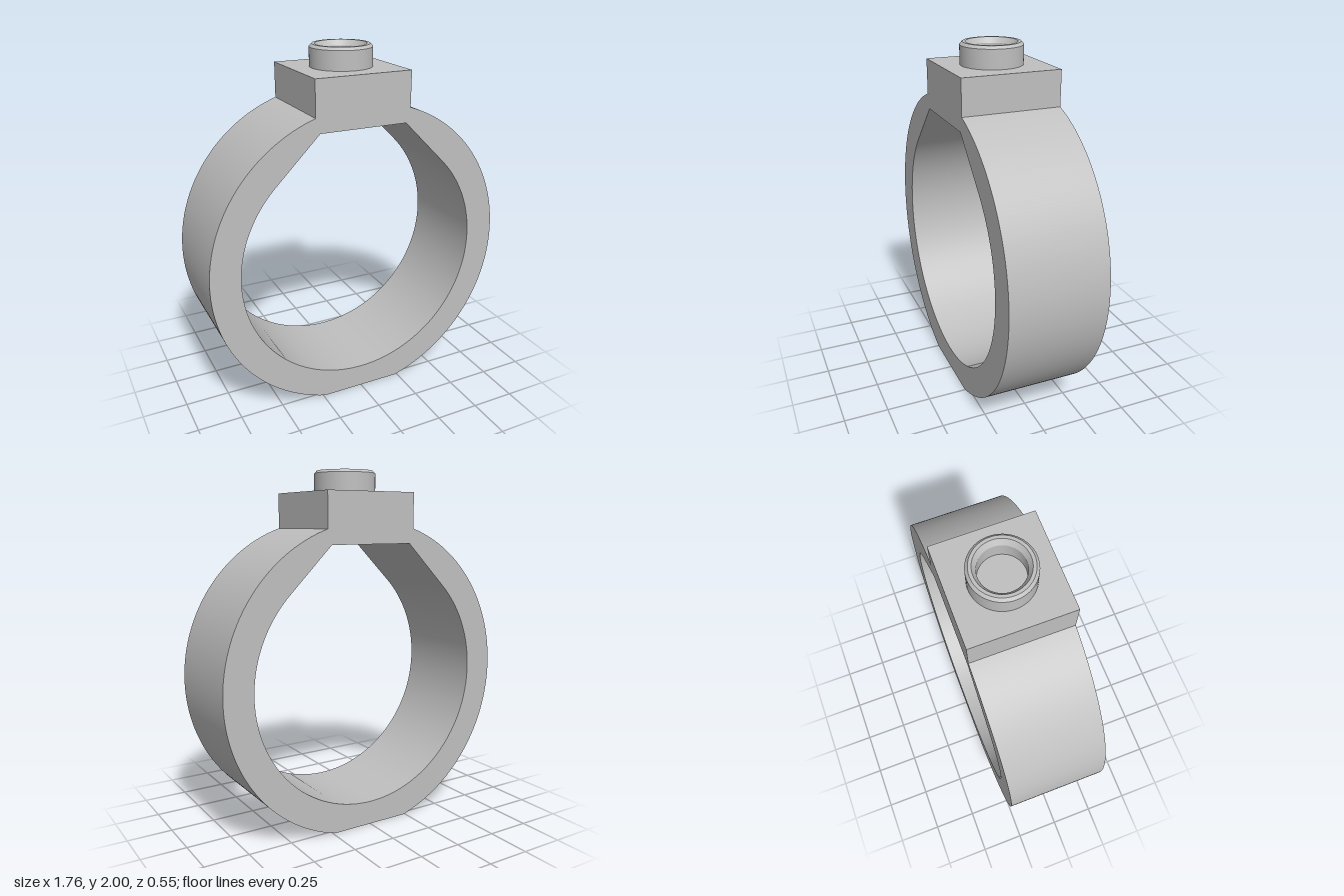
import * as THREE from 'three';
import { toCreasedNormals } from 'three/addons/utils/BufferGeometryUtils.js';

const CENTER_Y = 0.847; // centre of the band circles
const OUTER = 0.88;
const INNER = 0.711;
const HALF = 0.277; // half width of the band and the mount block
const BLOCK_BOTTOM = 1.6;
const BLOCK_TOP = 1.88;

export function createModel() {
  const model = new THREE.Group();
  model.name = 'ringClamp';
  const grey = new THREE.MeshStandardMaterial({ color: 0xbfbfbf });
  grey.name = 'plain grey';

  const add = (name, geometry) => {
    const mesh = new THREE.Mesh(geometry, grey);
    mesh.name = name;
    model.add(mesh);
    return mesh;
  };

  // Band: open ring with a flat foot and 45 degree inner shoulders
  const topAngle = Math.acos(HALF / OUTER);
  const footAngle = -Math.asin(CENTER_Y / OUTER);
  const tangent = INNER * Math.SQRT1_2;
  const shoulderX = 2 * tangent - (BLOCK_BOTTOM - CENTER_Y);

  const outline = new THREE.Shape();
  outline.absarc(0, CENTER_Y, OUTER, topAngle, footAngle, true);
  outline.absarc(0, CENTER_Y, OUTER, Math.PI - footAngle, Math.PI - topAngle, true);
  outline.lineTo(-HALF, BLOCK_BOTTOM);
  outline.lineTo(-shoulderX, BLOCK_BOTTOM);
  outline.absarc(0, CENTER_Y, INNER, Math.PI * 0.75, Math.PI * 2.25, false);
  outline.lineTo(shoulderX, BLOCK_BOTTOM);
  outline.lineTo(HALF, BLOCK_BOTTOM);
  outline.closePath();

  const band = new THREE.ExtrudeGeometry(outline, {
    depth: 2 * HALF, bevelEnabled: false, curveSegments: 64,
  });
  band.translate(0, 0, -HALF);
  add('band', toCreasedNormals(band, 0.25));

  // Mount block closing the top of the band
  const block = add('mountBlock',
    new THREE.BoxGeometry(2 * HALF, BLOCK_TOP - BLOCK_BOTTOM, 2 * HALF));
  block.position.y = (BLOCK_TOP + BLOCK_BOTTOM) / 2;

  // Hollow stud with chamfered outer and inner rims
  const profile = [
    [0.172, BLOCK_TOP], [0.172, 1.985], [0.157, 2], [0.14, 2],
    [0.12, 1.97], [0.12, BLOCK_TOP + 0.002], [0, BLOCK_TOP + 0.002],
  ].map(([r, y]) => new THREE.Vector2(r, y));
  add('stud', toCreasedNormals(new THREE.LatheGeometry(profile, 64), 0.4));

  return model;
}
